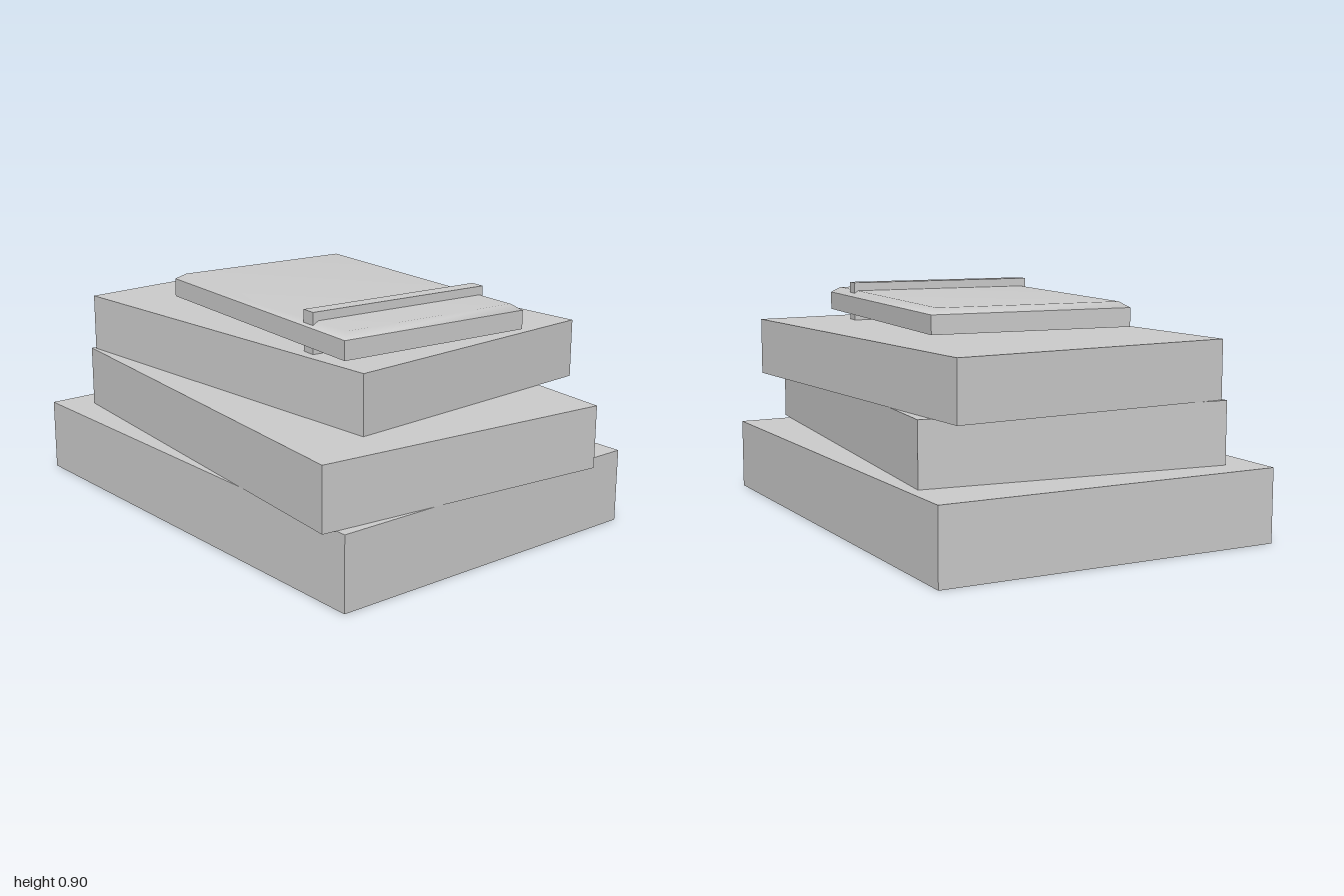
import * as THREE from 'three';

export function createModel() {
  const model = new THREE.Group();
  model.name = 'stackedSlabs';
  const grey = new THREE.MeshStandardMaterial({ color: 0xcccccc });
  grey.name = 'light grey';

  const add = (name, geometry, x, y, z, turn) => {
    const mesh = new THREE.Mesh(geometry, grey);
    mesh.name = name;
    mesh.position.set(x, y, z);
    mesh.rotation.y = turn;
    model.add(mesh);
  };

  // Box standing from y0 to y1, turned about the vertical
  const slab = (name, w, d, y0, y1, x, z, turn) =>
    add(name, new THREE.BoxGeometry(w, y1 - y0, d), x, (y0 + y1) / 2, z, turn);

  // Three large slabs, each turned a little differently
  slab('bottomSlab', 1.917, 1.36, 0, 0.283, -0.019, -0.003, 0.035);
  slab('middleSlab', 1.759, 1.195, 0.283, 0.523, 0.08, 0.044, -0.069);
  slab('upperSlab', 1.597, 1.12, 0.523, 0.747, -0.081, -0.067, 0.097);

  // Small notebook: straight sides with a softly bevelled cover
  const w = 1.197, d = 0.797, x = 0.1025, z = -0.005, turn = -0.054;
  slab('notebookBody', w, d, 0.773, 0.845, x, z, turn);
  add('notebookCover', bevelTop(w, d, 0.022, 0.033), x, 0.845, z, turn);

  // Narrow band running through the notebook
  slab('notebookBand', 0.06, 0.768, 0.747, 0.9, 0.46, 0.018, turn);

  return model;
}

// Bevelled top: an outer ring, a raised inner ring and a flat middle
function bevelTop(w, d, height, inset) {
  const points = [], index = [];
  for (const [cut, y] of [[0, 0], [inset, height]]) {
    for (const [sx, sz] of [[-1, 1], [1, 1], [1, -1], [-1, -1]]) {
      points.push(sx * (w / 2 - cut), y, sz * (d / 2 - cut));
    }
  }
  for (let i = 0; i < 4; i++) {
    const j = (i + 1) % 4;
    index.push(i, j, j + 4, i, j + 4, i + 4);
  }
  index.push(4, 5, 6, 4, 6, 7);
  const geometry = new THREE.BufferGeometry();
  geometry.setAttribute('position', new THREE.Float32BufferAttribute(points, 3));
  geometry.setIndex(index);
  geometry.computeVertexNormals();
  return geometry;
}
